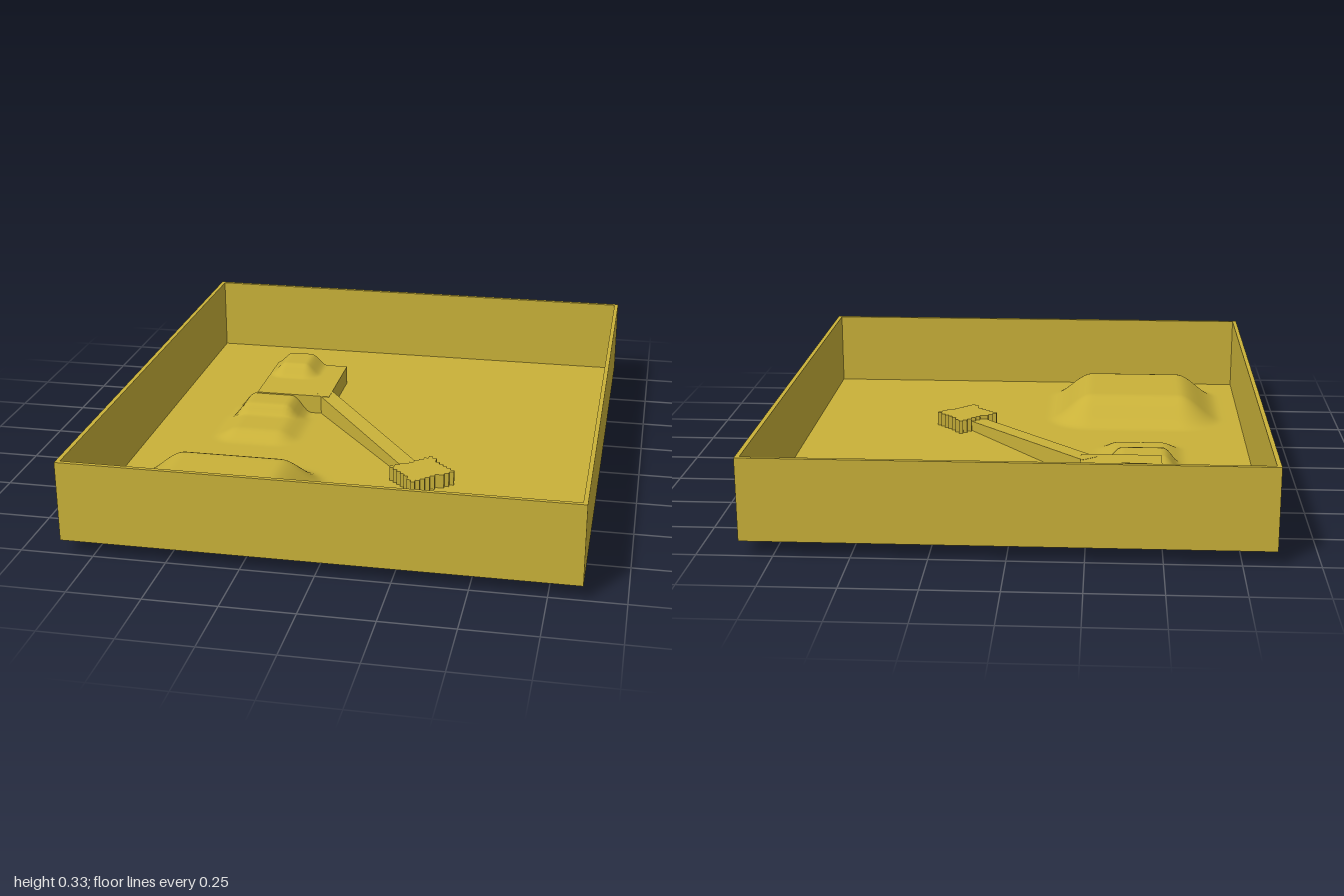
import * as THREE from 'three';

const FLOOR = 0.05;
const ochre = new THREE.MeshStandardMaterial({ color: 0xc9b139, side: THREE.DoubleSide });
ochre.name = 'ochre';

// Smooth flat-topped mound: plateau rectangle with a rounded skirt of width w
function mound(x, z, [x0, x1, z0, z1, w, h]) {
  const dx = Math.max(x0 - x, 0, x - x1);
  const dz = Math.max(z0 - z, 0, z - z1);
  return h * (1 - THREE.MathUtils.smoothstep(Math.hypot(dx, dz) / w, 0, 1));
}
const floorMounds = [
  [-0.6, -0.25, 0.45, 0.76, 0.175, 0.1],
  [-0.52, -0.37, -0.25, -0.15, 0.075, 0.068],
  [-0.52, -0.36, -0.15, 0.02, 0.09, 0.032],
];
const padMound = [-0.45, -0.37, -0.7, -0.485, 0.065, 0.045];

export function createModel() {
  const model = new THREE.Group();
  model.name = 'terrainTray';
  const add = (geometry, name) => {
    const mesh = new THREE.Mesh(geometry, ochre);
    mesh.name = name;
    model.add(mesh);
    return mesh;
  };

  // Thin floor with mounds pressed into it
  const floor = new THREE.PlaneGeometry(1.7, 1.98, 120, 140).rotateX(-Math.PI / 2);
  let p = floor.attributes.position;
  for (let i = 0; i < p.count; i++) {
    const x = p.getX(i), z = p.getZ(i);
    p.setY(i, FLOOR + Math.max(...floorMounds.map((m) => mound(x, z, m))));
  }
  floor.computeVertexNormals();
  add(floor, 'floor');

  // Rim: rectangular ring extruded upward
  const rectangle = (Type, w, d) => new Type([[-w, -d], [w, -d], [w, d], [-w, d]].map(([x, y]) => new THREE.Vector2(x, y)));
  const ring = rectangle(THREE.Shape, 0.86, 1);
  ring.holes.push(rectangle(THREE.Path, 0.845, 0.985));
  const rim = new THREE.ExtrudeGeometry(ring, { depth: 0.28, bevelEnabled: false }).rotateX(-Math.PI / 2);
  add(rim.translate(0, FLOOR, 0), 'rimWalls');

  // Raised pad whose top carries a half mound
  const pad = new THREE.BoxGeometry(0.29, 0.072, 0.35, 36, 1, 42).translate(-0.367, FLOOR + 0.036, -0.427);
  p = pad.attributes.position;
  for (let i = 0; i < p.count; i++) {
    if (p.getY(i) > 0.1) p.setY(i, p.getY(i) + mound(p.getX(i), p.getZ(i), padMound));
  }
  pad.computeVertexNormals();
  add(pad, 'raisedPad');

  // Ramp: a beam sheared downward along its length, dipping below the floor
  const ramp = new THREE.BoxGeometry(0.064, 0.086, 0.748);
  p = ramp.attributes.position;
  for (let i = 0; i < p.count; i++) p.setY(i, p.getY(i) + 0.0615 - 0.049 * p.getZ(i));
  ramp.computeVertexNormals();
  ramp.rotateY(Math.atan2(0.46, 0.59)).translate(-0.025, 0, -0.01);
  add(ramp, 'ramp');

  // Stepped pad: a turned rectangle snapped to a square grid, row by row
  const step = 0.0155, left = [], right = [];
  const inside = (x, z) => Math.abs(0.77 * x - 0.635 * z) < 0.085 && Math.abs(0.635 * x + 0.77 * z) < 0.075;
  for (let r = -8; r <= 8; r++) {
    const cells = [];
    for (let c = -8; c <= 8; c++) if (inside(c * step, r * step)) cells.push(c);
    if (!cells.length) continue;
    const xa = (cells[0] - 0.5) * step, xb = (cells[cells.length - 1] + 0.5) * step;
    for (const z of [(r - 0.5) * step, (r + 0.5) * step]) {
      left.push(new THREE.Vector2(xa, -z));
      right.push(new THREE.Vector2(xb, -z));
    }
  }
  const outline = new THREE.Shape([...left, ...right.reverse()].filter((v, i, a) => !i || !v.equals(a[i - 1])));
  const stepped = new THREE.ExtrudeGeometry(outline, { depth: 0.051, bevelEnabled: false }).rotateX(-Math.PI / 2);
  add(stepped.translate(0.24, FLOOR, 0.32), 'steppedPad');

  return model;
}
